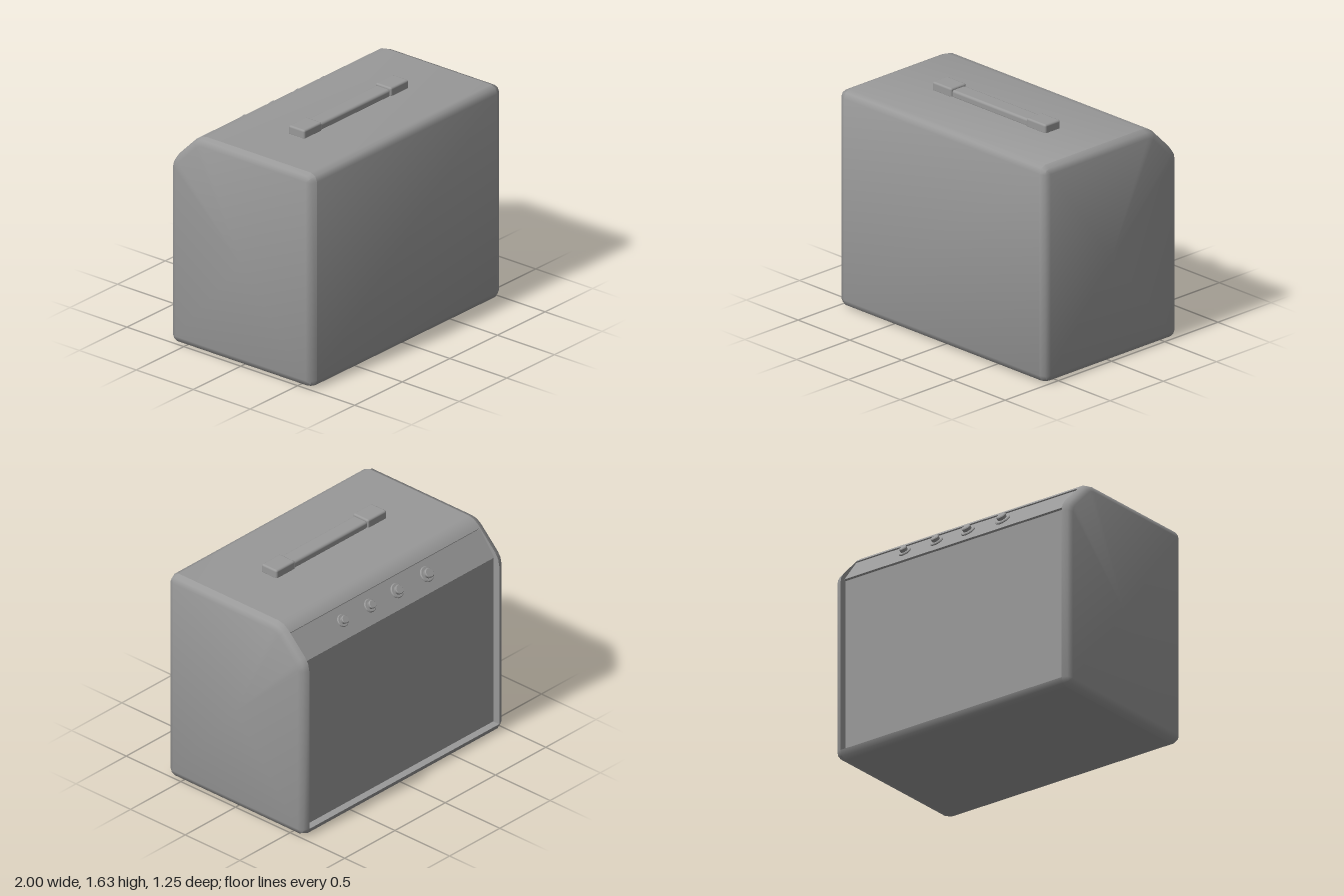
import * as THREE from 'three';
import { toCreasedNormals } from 'three/addons/utils/BufferGeometryUtils.js';
import { RoundedBoxGeometry } from 'three/addons/geometries/RoundedBoxGeometry.js';

const material = new THREE.MeshStandardMaterial({ color: 0x999999 });
const EDGE = 0.055;      // rounding of the cabinet edges
const INNER = 0.945;     // half width of the recessed back opening
const SEG = 2;           // facets per rounded edge
const CREASE = 0.9;

// Side outline corners: z, y, radius, and the two edge normals in degrees
const corners = [
  [0.625, 0, 0.056, -90, 0],
  [0.625, 1.575, 0.056, 0, 90],
  [-0.395, 1.575, 0.13, 90, 135],
  [-0.625, 1.345, 0.13, 135, 180],
  [-0.625, 0, 0.056, 180, 270],
];

// One rounded corner of the outline, moved inward by inset
function cornerArc([z, y, r, from, to], inset = 0) {
  const a = THREE.MathUtils.degToRad(from), b = THREE.MathUtils.degToRad(to);
  const k = r / (1 + Math.cos(b - a));
  const cz = z - k * (Math.cos(a) + Math.cos(b));
  const cy = y - k * (Math.sin(a) + Math.sin(b));
  return Array.from({ length: SEG + 1 }, (_, i) => {
    const t = a + (b - a) * i / SEG;
    return new THREE.Vector2(cz + (r - inset) * Math.cos(t), cy + (r - inset) * Math.sin(t));
  });
}

// Side wall whose outer edge rounds over; side is +1 or -1
function sideWallGeometry(side) {
  const positions = [], index = [];
  const rings = SEG + 1;
  let n = 0;
  for (let k = 0; k < rings; k++) {
    const t = k / SEG * Math.PI / 2;
    const ring = corners.flatMap(c => cornerArc(c, EDGE * (1 - Math.cos(t))));
    n = ring.length;
    for (const p of ring) positions.push(side * (INNER + EDGE * Math.sin(t)), p.y, p.x);
  }
  const tri = (a, b, c) => side > 0 ? index.push(a, c, b) : index.push(a, b, c);
  const innerCentre = rings * n, outerCentre = innerCentre + 1;
  positions.push(side * INNER, 0.75, 0, side * (INNER + EDGE), 0.75, 0);
  for (let i = 0; i < n; i++) {
    const j = (i + 1) % n;
    for (let k = 0; k < SEG; k++) {
      const a = k * n + i, b = k * n + j;
      tri(a, b, b + n);
      tri(a, b + n, a + n);
    }
    tri(innerCentre, j, i);
    tri(outerCentre, SEG * n + i, SEG * n + j);
  }
  const g = new THREE.BufferGeometry();
  g.setAttribute('position', new THREE.Float32BufferAttribute(positions, 3));
  g.setIndex(index);
  return toCreasedNormals(g, CREASE);
}

const toPoints = list => list.map(([a, b]) => new THREE.Vector2(a, b));

// Side profile (z, y) drawn out across the opening
function acrossGeometry(points) {
  const g = new THREE.ExtrudeGeometry(new THREE.Shape(points), { depth: INNER * 2, bevelEnabled: false });
  g.translate(0, 0, -INNER);
  return g.rotateY(-Math.PI / 2);
}

// Middle of the cabinet, hollowed at the back to take the panel and grille
function cabinetGeometry() {
  return toCreasedNormals(acrossGeometry([
    ...corners.slice(0, 3).flatMap(c => cornerArc(c)),
    ...toPoints([[-0.45, 1.52], [-0.42, 1.49], [-0.54, 1.3], [-0.54, EDGE], [-0.625, EDGE]]),
    ...cornerArc(corners[4]).slice(1),
  ]), CREASE);
}

function addMesh(parent, name, geometry, x = 0, y = 0, z = 0) {
  const mesh = new THREE.Mesh(geometry, material);
  mesh.name = name;
  mesh.position.set(x, y, z);
  parent.add(mesh);
  return mesh;
}

// Knob: flange, body and a slightly chamfered top
function knobGeometry(r) {
  const profile = toPoints([[0, 0], [r, 0], [r, 0.008], [r * 0.9, 0.014], [r * 0.58, 0.014],
    [r * 0.64, 0.036], [r * 0.54, 0.042], [0, 0.042]]);
  return toCreasedNormals(new THREE.LatheGeometry(profile, 20), 0.5);
}

export function createModel() {
  const model = new THREE.Group();
  model.name = 'amplifier';

  // Cabinet
  addMesh(model, 'cabinet', cabinetGeometry());
  addMesh(model, 'leftWall', sideWallGeometry(1));
  addMesh(model, 'rightWall', sideWallGeometry(-1));

  // Sloped control panel, slightly overhanging the speaker grille
  addMesh(model, 'controlPanel', acrossGeometry(
    toPoints([[-0.45, 1.51], [-0.58, 1.34], [-0.565, 1.325], [-0.425, 1.485]])));
  addMesh(model, 'grille', new THREE.BoxGeometry(INNER * 2, 1.285, 0.04), 0, EDGE + 0.6425, -0.55);

  // Carrying handle
  const handle = new THREE.Group();
  handle.name = 'handle';
  handle.position.set(0, 1.57, 0.11);
  model.add(handle);
  addMesh(handle, 'strap', new RoundedBoxGeometry(0.74, 0.06, 0.124, 2, 0.018), 0, 0.023, 0);
  for (const s of [-1, 1]) {
    addMesh(handle, s > 0 ? 'leftHandleEnd' : 'rightHandleEnd',
      new RoundedBoxGeometry(0.186, 0.07, 0.142, 2, 0.014), s * 0.455, 0.03, 0);
  }

  // Knobs on the sloped panel
  const knobs = new THREE.Group();
  knobs.name = 'knobs';
  model.add(knobs);
  for (const [x, r] of [[-0.352, 0.056], [-0.055, 0.053], [0.213, 0.048], [0.485, 0.045]]) {
    addMesh(knobs, 'knob', knobGeometry(r), x, 1.435, -0.503).rotation.x = -0.86;
  }
  return model;
}
